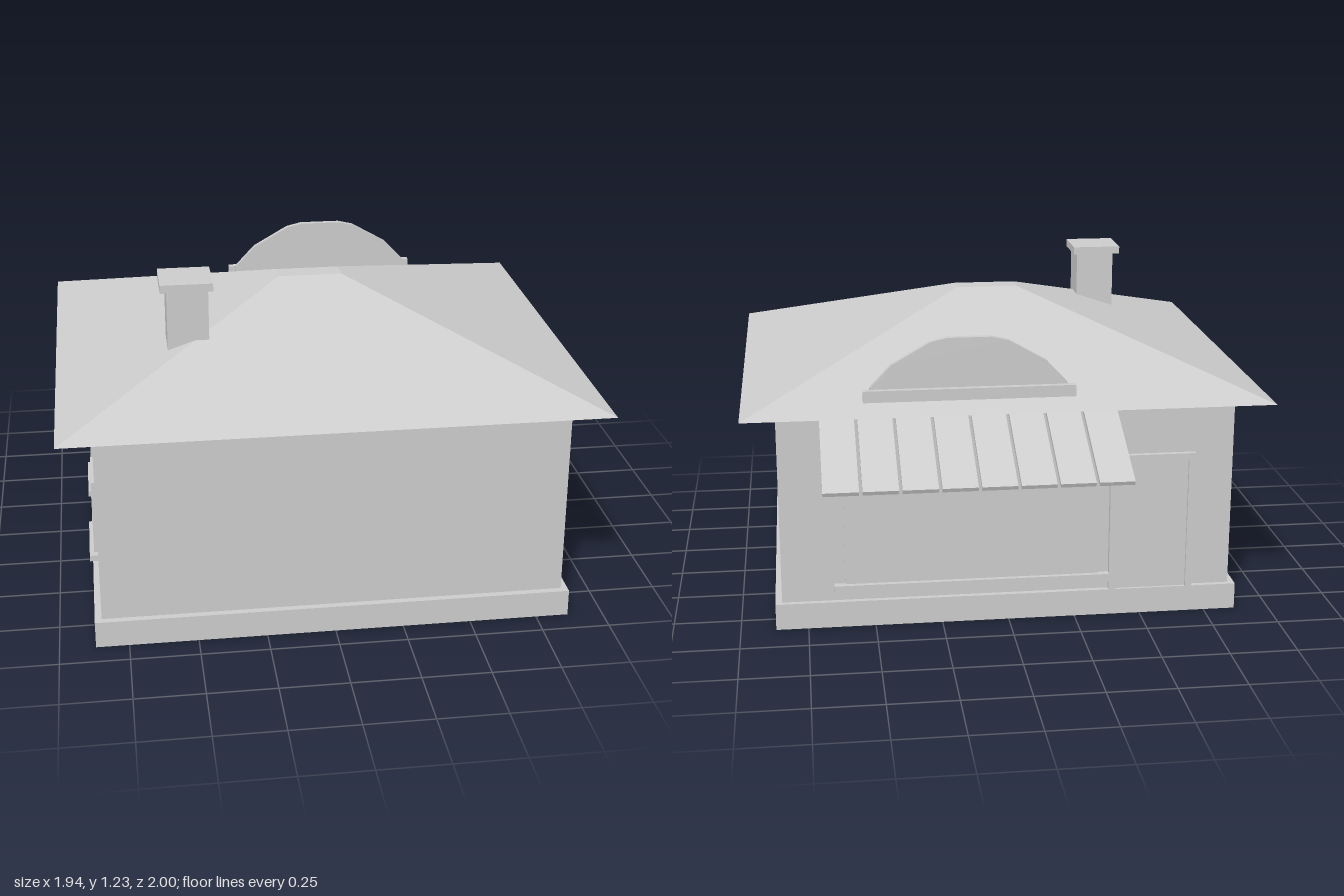
import * as THREE from 'three';

export function createModel() {
  const model = new THREE.Group();
  const plaster = new THREE.MeshStandardMaterial({ color: 0xcccccc });
  plaster.name = 'light grey';

  function add(name, geometry, parent = model) {
    const mesh = new THREE.Mesh(geometry, plaster);
    mesh.name = name;
    parent.add(mesh);
    return mesh;
  }

  // box given by its extents on each axis
  function block(name, [x0, x1], [y0, y1], [z0, z1], parent) {
    const mesh = add(name, new THREE.BoxGeometry(x1 - x0, y1 - y0, z1 - z0), parent);
    mesh.position.set((x0 + x1) / 2, (y0 + y1) / 2, (z0 + z1) / 2);
    return mesh;
  }

  // upright panel cut from an x,y outline
  function panel(name, points, z0, z1) {
    const shape = new THREE.Shape(points.map(([x, y]) => new THREE.Vector2(x, y)));
    const geometry = new THREE.ExtrudeGeometry(shape, { depth: z1 - z0, bevelEnabled: false });
    add(name, geometry).position.z = z0;
  }

  // mirrored outline about a vertical centre line
  const mirrored = (centre, half) => [
    ...half.map(([x, y]) => [centre + x, y]),
    ...half.map(([x, y]) => [centre - x, y]).reverse(),
  ];

  block('plinth', [-0.87, 0.87], [0, 0.1], [-0.6, 0.905]);
  block('walls', [-0.845, 0.845], [0.1, 0.83], [-0.58, 0.88]);

  // hipped roof: a box with its top pulled in to a small flat ridge
  const roof = new THREE.BoxGeometry(1.94, 0.29, 1.7);
  const p = roof.attributes.position;
  for (let i = 0; i < p.count; i++) {
    const top = p.getY(i) > 0;
    const x = Math.sign(p.getX(i)) * (top ? 0.12 : 0.97);
    const z = p.getZ(i) > 0 ? (top ? 0.19 : 1.0) : (top ? 0.105 : -0.7);
    p.setXYZ(i, x, top ? 1.127 : 0.836, z);
  }
  roof.computeVertexNormals();
  add('roof', roof);

  // chimney
  block('chimneyStack', [-0.56, -0.41], [0.92, 1.2], [0.37, 0.515]);
  block('chimneyCap', [-0.583, -0.393], [1.2, 1.23], [0.345, 0.535]);

  // slatted awning at the back
  const awning = new THREE.Group();
  awning.name = 'awning';
  model.add(awning);
  for (let i = 0; i < 8; i++) {
    const slat = add('awningSlat', new THREE.BoxGeometry(0.124, 0.016, 0.435), awning);
    slat.position.set(-0.325 + i * 0.136, 0.752, -0.798);
    slat.rotation.x = -0.428;
  }

  // arched sign board with its rail
  panel('signBoard', mirrored(0.145,
    [[0.36, 0.84], [0.36, 0.915], [0.28, 1.0], [0.14, 1.08], [0.08, 1.094]]), -0.588, -0.565);
  block('signRail', [-0.243, 0.53], [0.767, 0.911], [-0.611, -0.584]);

  // shop window, narrower above its shoulders
  panel('shopWindow', mirrored(0.135,
    [[0.475, 0.15], [0.475, 0.645], [0.445, 0.68], [0.445, 0.825]]), -0.59, -0.579);
  block('shopSill', [-0.38, 0.65], [0.134, 0.166], [-0.608, -0.58]);

  // door in its frame
  block('doorLeaf', [-0.68, -0.4], [0.1, 0.61], [-0.59, -0.579]);
  block('doorFrame', [-0.7, -0.675], [0.1, 0.63], [-0.6, -0.579]);
  block('doorFrame', [-0.405, -0.38], [0.1, 0.63], [-0.6, -0.579]);
  block('doorFrameTop', [-0.675, -0.405], [0.605, 0.63], [-0.6, -0.579]);

  // two windows on the right wall
  for (const z of [-0.14, 0.4]) {
    const sideWindow = new THREE.Group();
    sideWindow.name = 'sideWindow';
    model.add(sideWindow);
    block('pane', [-0.851, -0.84], [0.17, 0.45], [z - 0.095, z + 0.095], sideWindow);
    for (const s of [-1, 1]) {
      block('frameSide', [-0.863, -0.84], [0.17, 0.463],
        [z + s * 0.1 - 0.012, z + s * 0.1 + 0.012], sideWindow);
    }
    block('frameTop', [-0.863, -0.84], [0.438, 0.463], [z - 0.088, z + 0.088], sideWindow);
    block('sill', [-0.88, -0.84], [0.15, 0.173], [z - 0.14, z + 0.14], sideWindow);
  }

  return model;
}
